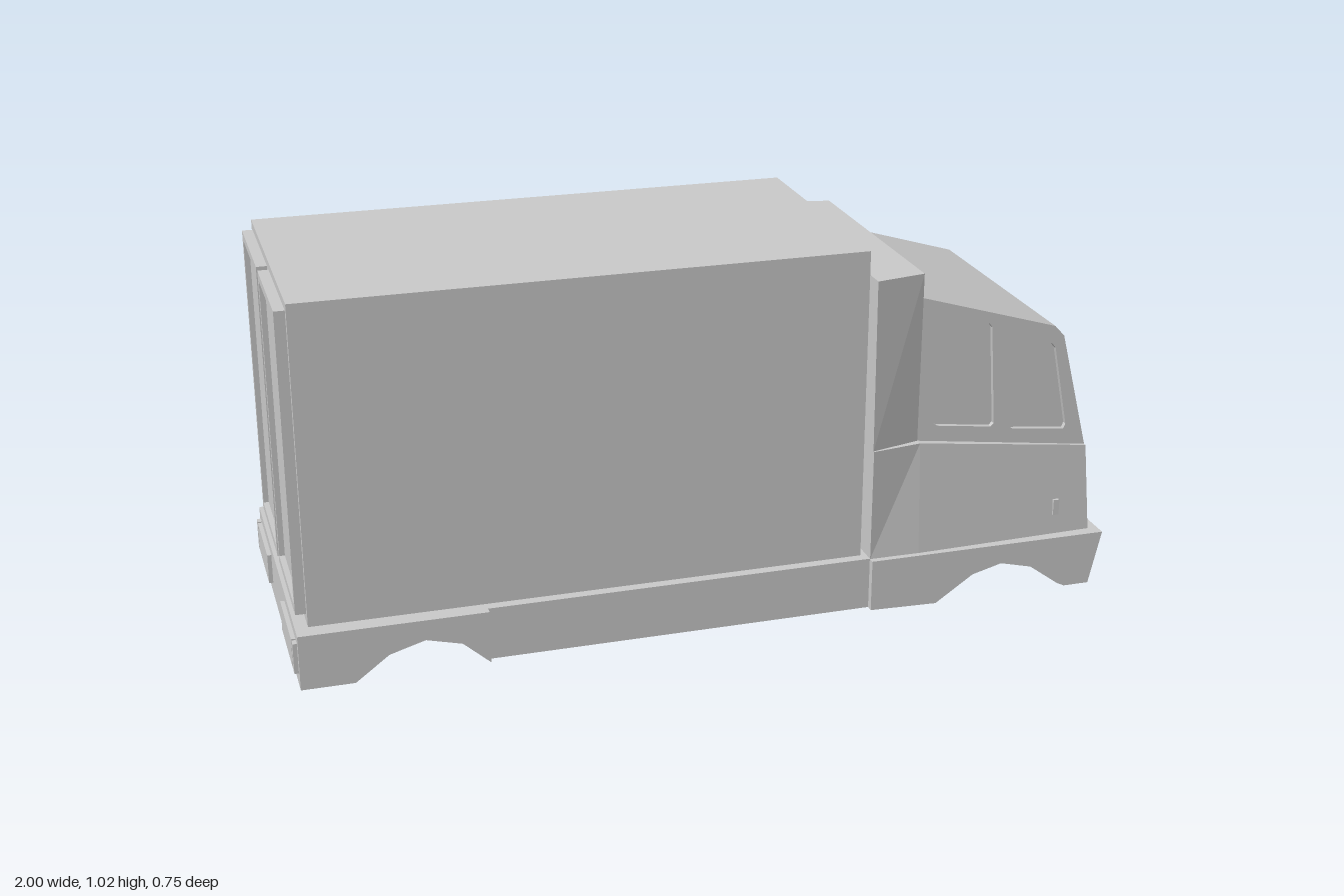
import * as THREE from 'three';

const material = new THREE.MeshStandardMaterial({ color: 0xcccccc, flatShading: true });
const toShape = (pts) => new THREE.Shape(pts.map(([x, y]) => new THREE.Vector2(x, y)));

export function createModel() {
  const truck = new THREE.Group();
  truck.name = 'boxTruck';

  function add(name, geometry, parent = truck) {
    const mesh = new THREE.Mesh(geometry, material);
    mesh.name = name;
    parent.add(mesh);
    return mesh;
  }

  // Plate of an outline with optional holes, from z = 0 to z = depth
  function plate(outline, depth, holes = []) {
    const shape = toShape(outline);
    holes.forEach((h) => shape.holes.push(toShape(h)));
    return new THREE.ExtrudeGeometry(shape, { depth, bevelEnabled: false });
  }

  // Side profile spanning both sides, its half width given by a rule of x and y
  function slab(profile, halfWidth) {
    const geo = plate(profile, 1);
    const p = geo.attributes.position;
    for (let i = 0; i < p.count; i++) {
      p.setZ(i, (p.getZ(i) > 0.5 ? 1 : -1) * halfWidth(p.getX(i), p.getY(i)));
    }
    geo.computeVertexNormals();
    return geo;
  }

  // Box from its limits
  function box(name, x0, x1, y0, y1, z0, z1, parent) {
    const mesh = add(name, new THREE.BoxGeometry(x1 - x0, y1 - y0, z1 - z0), parent);
    mesh.position.set((x0 + x1) / 2, (y0 + y1) / 2, (z0 + z1) / 2);
    return mesh;
  }

  const rect = (x0, x1, y0, y1) => [[x0, y0], [x1, y0], [x1, y1], [x0, y1]];

  // Chassis with wheel arches running right through
  add('frontSkirt', slab([
    [0.39, 0.25], [0.39, 0.12], [0.56, 0.115], [0.655, 0.18], [0.73, 0.2],
    [0.81, 0.18], [0.885, 0.125], [0.905, 0.115], [0.97, 0.115], [1, 0.25],
  ], () => 0.373));
  add('rearSkirt', slab([
    [-0.99, 0.25], [-0.99, 0.115], [-0.865, 0.115], [-0.785, 0.175], [-0.7, 0.2],
    [-0.615, 0.178], [-0.55, 0.12], [-0.55, 0.25],
  ], () => 0.373));
  box('chassisMiddle', -0.55, 0.39, 0.12, 0.25, -0.355, 0.355);

  // Cargo body
  box('cargoBox', -0.96, 0.375, 0.25, 1.02, -0.33, 0.33);

  // Lower cab, widest at the back
  const cab = new THREE.Group();
  cab.name = 'cab';
  truck.add(cab);
  const lowerWidth = (x, y) => 0.338 - 0.033 * (x - 0.515) - 0.073 * (y - 0.53);
  add('cabLowerRear', slab(rect(0.39, 0.515, 0.25, 0.53),
    (x, y) => (x < 0.45 ? 0.357 : lowerWidth(x, y))), cab);
  add('cabLowerFront', slab([[0.515, 0.25], [0.975, 0.25], [0.96, 0.47], [0.515, 0.53]], lowerWidth), cab);

  // Upper cab: tapering back section, core, and outer panels with window openings
  add('cabUpperRear', slab(rect(0.39, 0.515, 0.53, 0.95),
    (x, y) => (x < 0.45 ? 0.353 - 0.02 * (y - 0.53) : 0.32)), cab);
  const t = 0.012;
  const roof = [[0.86, 0.787], [0.515, 0.89]];
  add('cabCore', slab([[0.515, 0.53], [0.948, 0.467], [0.873, 0.757], ...roof], () => 0.32 - t), cab);

  const windows = [
    [[0.555, 0.57], [0.565, 0.563], [0.705, 0.545], [0.713, 0.553], [0.695, 0.8], [0.688, 0.81], [0.555, 0.85]],
    [[0.755, 0.54], [0.763, 0.533], [0.9, 0.518], [0.905, 0.53], [0.865, 0.73], [0.855, 0.743], [0.738, 0.79]],
  ];
  const sideOutline = [[0.515, 0.53], [0.96, 0.47], [0.885, 0.76], ...roof];
  for (const side of [1, -1]) {
    const panel = add(side > 0 ? 'leftSidePanel' : 'rightSidePanel', plate(sideOutline, t, windows), cab);
    panel.position.z = side > 0 ? 0.32 - t : -0.32;
  }

  // Windscreen surround lying on the sloping front
  const up = new THREE.Vector3(-0.075, 0.29, 0);
  const length = up.length();
  up.normalize();
  const out = new THREE.Vector3(up.y, -up.x, 0);
  const surround = add('windscreenSurround',
    plate(rect(-0.308, 0.308, 0, length), t, [rect(-0.298, 0.298, 0.036, 0.274)]), cab);
  surround.quaternion.setFromRotationMatrix(
    new THREE.Matrix4().makeBasis(new THREE.Vector3(0, 0, -1), up, out));
  surround.position.set(0.96, 0.47, 0).addScaledVector(out, -t);

  // Paired parts: headlights, side markers, rear doors, rear lamps
  for (const side of [1, -1]) {
    const tag = side > 0 ? 'left' : 'right';

    const lamp = add(tag + 'Headlight', plate([
      [-0.046, -0.042], [0.046, -0.042], [0.054, 0], [0.048, 0.042], [-0.048, 0.042], [-0.054, 0],
    ], 0.02), cab);
    lamp.rotation.y = Math.PI / 2;
    lamp.position.set(0.96, 0.322, side * 0.252);

    box(tag + 'SideMarker', 0.875, 0.89, 0.3, 0.34, side * 0.342 - 0.005, side * 0.342 + 0.005, cab);

    const door = new THREE.Group();
    door.name = tag + 'RearDoor';
    truck.add(door);
    const frame = add('doorFrame', plate(rect(-0.149, 0.149, 0.275, 1),
      0.025, [rect(-0.132, 0.132, 0.295, 0.98)]), door);
    frame.rotation.y = -Math.PI / 2;
    frame.position.set(-0.96, 0, side * 0.163);
    box('doorPanel', -0.972, -0.955, 0.29, 0.985, side * 0.163 - 0.135, side * 0.163 + 0.135, door);

    box(tag + 'RearLamp', -1, -0.985, 0.15, 0.225, side * 0.23 - 0.1, side * 0.23 + 0.1);
    box(tag + 'RearReflector', -1, -0.985, 0.15, 0.225, side * 0.346 - 0.01, side * 0.346 + 0.01);
  }

  // Chamfered tank under the right side
  const tank = add('underTank', plate([
    [-0.058, 0], [0.058, 0], [0.07, 0.022], [0.07, 0.1],
    [0.058, 0.122], [-0.058, 0.122], [-0.07, 0.1], [-0.07, 0.022],
  ], 0.32));
  tank.rotation.y = Math.PI / 2;
  tank.position.set(-0.1, 0, -0.3);

  return truck;
}
